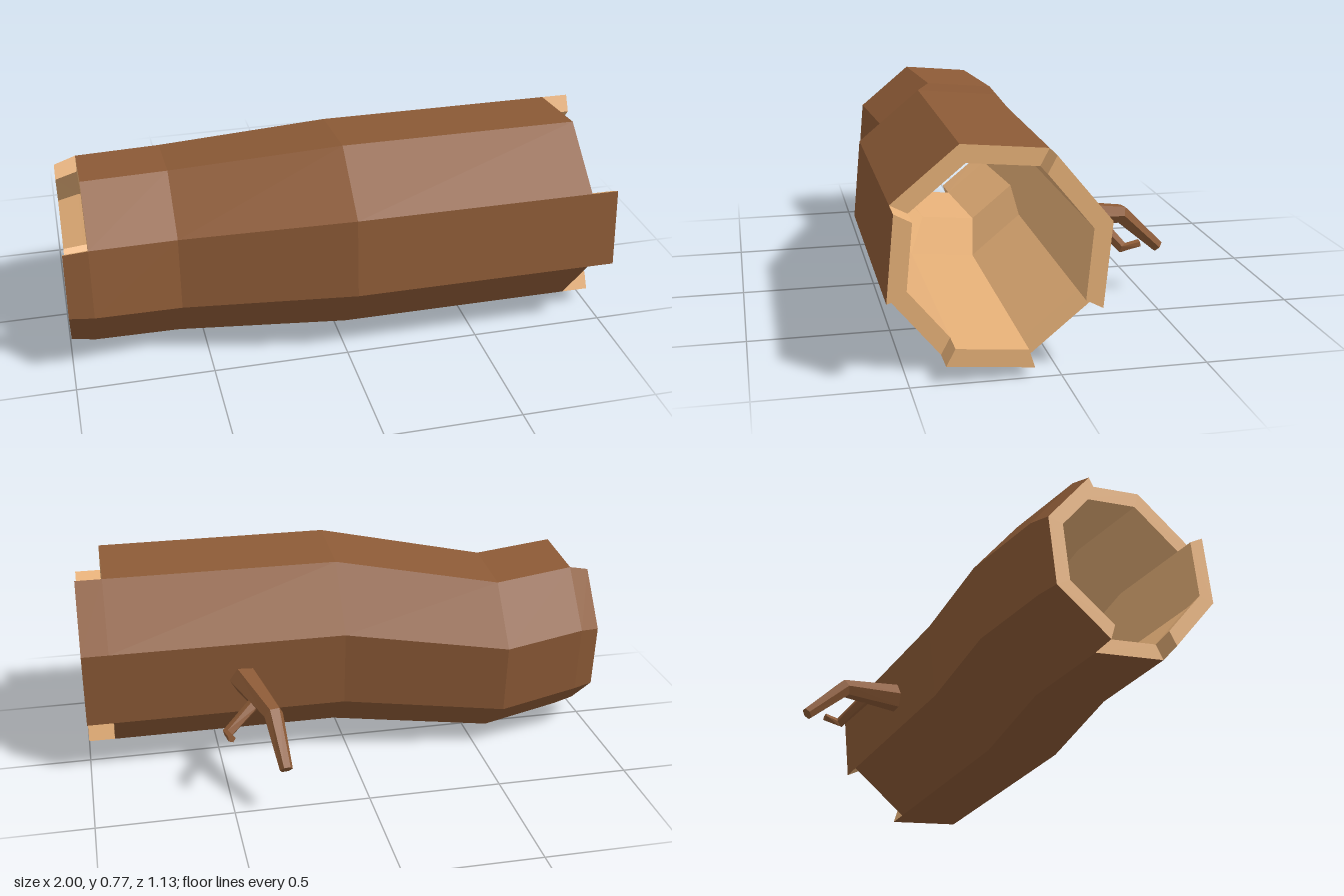
import * as THREE from 'three';

const bark = new THREE.MeshStandardMaterial({ color: 0x8c5a36, flatShading: true });
const wood = new THREE.MeshStandardMaterial({ color: 0xe6b078, flatShading: true });

const SIDES = 8, RADIUS = 0.383, INNER = 0.828;
const ALL = [0, 1, 2, 3, 4, 5, 6, 7];

// Cross-sections of the trunk along x: centre, scale and lean
const sections = [
  { x: -0.993, y: 0.365, z: 0.135, s: 0.842, lean: -0.02 },
  { x: -0.91, y: 0.368, z: 0.128, s: 0.893 },
  { x: -0.595, y: 0.3415, z: 0.077, s: 0.918 },
  { x: 0.02, y: 0.406, z: 0.202, s: 1 },
  { x: 0.9, y: 0.406, z: 0.202, s: 1 },
  { x: 1, y: 0.406, z: 0.202, s: 1 },
];
// Planks present in each stretch; the broken ends miss some
const planks = [[1, 2, 3, 5, 6], ALL, ALL, ALL, [1, 2, 4, 6]];

function corner(section, i, k) {
  const a = THREE.MathUtils.degToRad(17.1 - (360 / SIDES) * i);
  const r = RADIUS * section.s * k, dz = r * Math.sin(a);
  return [section.x + (section.lean || 0) * dz, section.y + r * Math.cos(a), section.z + dz];
}

function quad(list, a, b, c, d) {
  list.push(...a, ...b, ...c, ...a, ...c, ...d);
}

function facetMesh(list, material, name) {
  const g = new THREE.BufferGeometry();
  g.setAttribute('position', new THREE.Float32BufferAttribute(list, 3));
  g.computeVertexNormals();
  const mesh = new THREE.Mesh(g, material);
  mesh.name = name;
  return mesh;
}

function createTrunk() {
  const outside = [], inside = [], cuts = [];
  const has = (s, i) => !!planks[s] && planks[s].includes((i + SIDES) % SIDES);
  planks.forEach((present, s) => {
    const A = sections[s], B = sections[s + 1];
    for (const i of present) {
      const [ao, ao2, bo, bo2] = [corner(A, i, 1), corner(A, i + 1, 1), corner(B, i, 1), corner(B, i + 1, 1)];
      const [ai, ai2, bi, bi2] = [corner(A, i, INNER), corner(A, i + 1, INNER), corner(B, i, INNER), corner(B, i + 1, INNER)];
      quad(outside, ao, bo, bo2, ao2);
      quad(inside, ai, ai2, bi2, bi);
      // Sawn faces wherever the neighbouring piece is missing
      if (!has(s + 1, i)) quad(cuts, bo, bi, bi2, bo2);
      if (!has(s - 1, i)) quad(cuts, ao, ao2, ai2, ai);
      if (!has(s, i - 1)) quad(cuts, ao, ai, bi, bo);
      if (!has(s, i + 1)) quad(cuts, ao2, bo2, bi2, ai2);
    }
  });
  const trunk = new THREE.Group();
  trunk.name = 'hollowTrunk';
  trunk.add(facetMesh(outside, bark, 'bark'), facetMesh(inside, wood, 'innerWall'), facetMesh(cuts, wood, 'brokenEnds'));
  return trunk;
}

// Tapered bent limb: each path entry is [x, y, z, radius]
function limb(path, sides, name) {
  const pts = path.map(p => new THREE.Vector3(p[0], p[1], p[2]));
  const rings = pts.map((p, k) => {
    const t = pts[Math.min(k + 1, pts.length - 1)].clone().sub(pts[Math.max(k - 1, 0)]).normalize();
    const u = new THREE.Vector3(0, 1, 0).cross(t).normalize();
    const v = t.clone().cross(u);
    return Array.from({ length: sides }, (_, i) => {
      const a = (i / sides) * Math.PI * 2, r = path[k][3];
      return p.clone().addScaledVector(u, r * Math.cos(a)).addScaledVector(v, r * Math.sin(a)).toArray();
    });
  });
  const list = [];
  for (let k = 0; k + 1 < rings.length; k++)
    for (let i = 0; i < sides; i++) {
      const j = (i + 1) % sides;
      quad(list, rings[k][i], rings[k][j], rings[k + 1][j], rings[k + 1][i]);
    }
  // Tip and base caps
  const tip = rings[rings.length - 1], base = rings[0];
  for (let i = 1; i + 1 < sides; i++) {
    list.push(...tip[0], ...tip[i], ...tip[i + 1]);
    list.push(...base[0], ...base[i + 1], ...base[i]);
  }
  return facetMesh(list, bark, name);
}

export function createModel() {
  const log = new THREE.Group();
  log.name = 'hollowLog';
  log.add(createTrunk());
  // Side branch at the back with a small twig
  const branch = new THREE.Group();
  branch.name = 'branch';
  branch.add(
    limb([[0.41, 0.368, -0.125, 0.058], [0.335, 0.335, -0.395, 0.036], [0.317, 0.192, -0.55, 0.024]], 6, 'mainBranch'),
    limb([[0.385, 0.335, -0.285, 0.025], [0.5, 0.255, -0.355, 0.021], [0.493, 0.267, -0.42, 0.015]], 5, 'twig'),
  );
  log.add(branch);
  return log;
}
